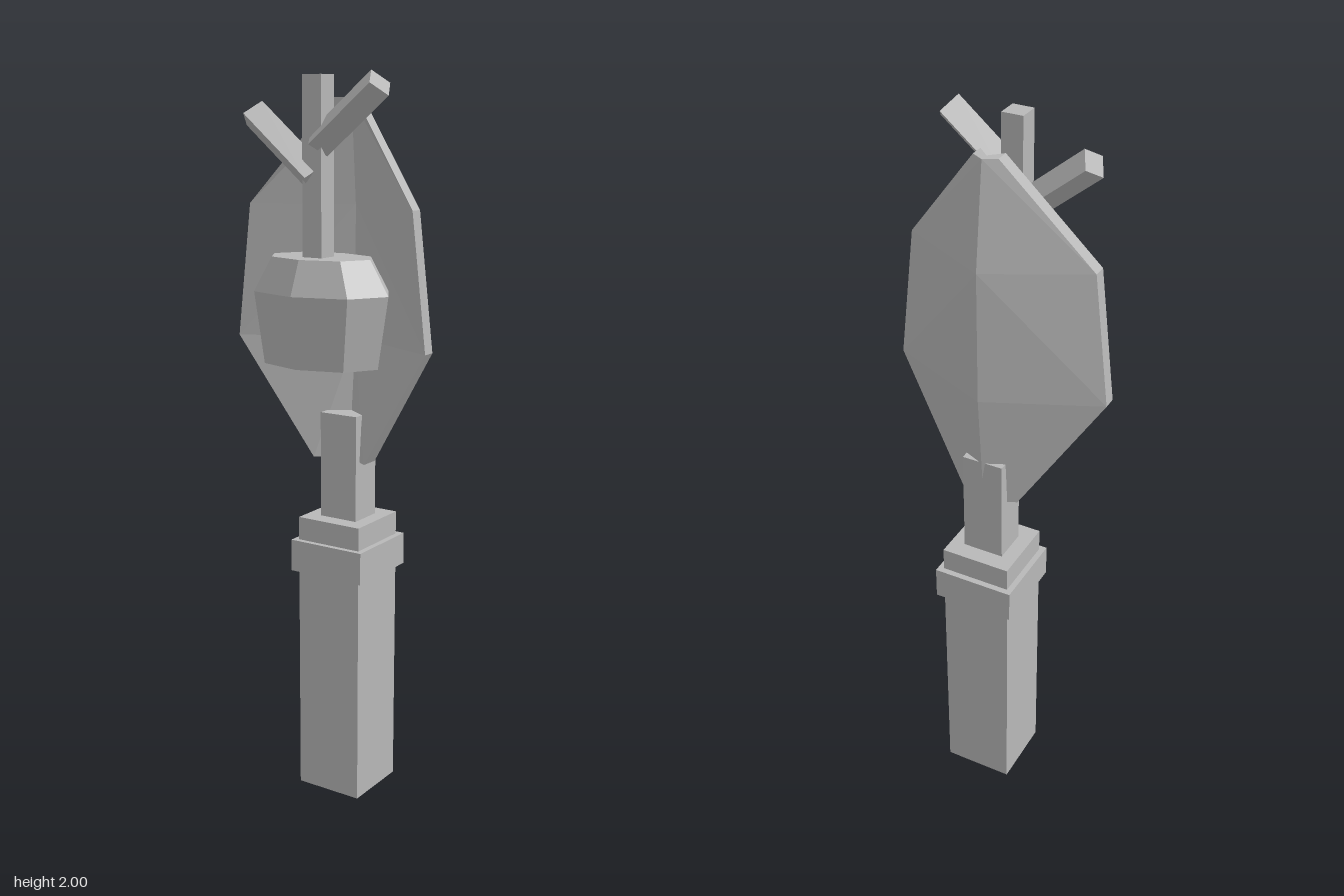
import * as THREE from 'three';

const grey = new THREE.MeshStandardMaterial({ color: 0xb8b8b8, flatShading: true });
grey.name = 'plain grey';

function add(group, name, geometry, x = 0, y = 0, z = 0) {
  const mesh = new THREE.Mesh(geometry, grey);
  mesh.name = name;
  mesh.position.set(x, y, z);
  group.add(mesh);
  return mesh;
}

// Upright box standing between two heights
function post(group, name, width, depth, y0, y1, x, z) {
  return add(group, name, new THREE.BoxGeometry(width, y1 - y0, depth), x, (y0 + y1) / 2, z);
}

// Folded plate: a chevron cross-section carried down through the stations
function foldedLeaf() {
  // height, half width, spine back z, spine front z, rim back z, rim front z
  const stations = [
    [1.935, 0.033, -0.114, -0.09, -0.094, -0.058],
    [1.66, 0.253, -0.147, -0.112, -0.017, 0.02],
    [1.30, 0.296, -0.147, -0.112, -0.017, 0.02],
    [0.97, 0.082, -0.122, -0.085, -0.085, -0.03],
  ];
  const rings = stations.map(([y, w, sb, sf, rb, rf]) => [
    [0, y, sb], [w, y, rb], [w, y, rf], [0, y, sf], [-w, y, rf], [-w, y, rb],
  ]);
  const pos = [];
  const quad = (a, b, c, d) => pos.push(...a, ...b, ...c, ...a, ...c, ...d);
  for (let i = 0; i < rings.length - 1; i++) {
    for (let j = 0; j < 6; j++) {
      const k = (j + 1) % 6, a = rings[i], b = rings[i + 1];
      // Every crease runs from the spine down to the rim
      if (j % 3 === 0) quad(a[j], a[k], b[k], b[j]);
      else quad(a[k], b[k], b[j], a[j]);
    }
  }
  const t = rings[0], e = rings[rings.length - 1];
  quad(t[3], t[2], t[1], t[0]);
  quad(t[5], t[4], t[3], t[0]);
  quad(e[0], e[1], e[2], e[3]);
  quad(e[0], e[3], e[4], e[5]);
  const geometry = new THREE.BufferGeometry();
  geometry.setAttribute('position', new THREE.Float32BufferAttribute(pos, 3));
  geometry.computeVertexNormals();
  return geometry;
}

// Diamond-section twig between two points in the xy plane
function twig(group, name, x0, y0, x1, y1, z) {
  const length = Math.hypot(x1 - x0, y1 - y0);
  const geometry = new THREE.CylinderGeometry(1, 1, length, 4);
  geometry.scale(0.04, 1, 0.048);
  const mesh = add(group, name, geometry, (x0 + x1) / 2, (y0 + y1) / 2, z);
  mesh.rotation.z = Math.atan2(y1 - y0, x1 - x0) - Math.PI / 2;
}

export function createModel() {
  const model = new THREE.Group();
  model.name = 'leafStaff';

  // Handle, collar and neck
  post(model, 'handle', 0.196, 0.196, 0, 0.805, -0.001, -0.079);
  post(model, 'collar', 0.228, 0.228, 0.65, 0.74, -0.001, -0.08);
  post(model, 'neck', 0.115, 0.1, 0.8, 1.1, 0, -0.078);

  // Folded leaf blade
  add(model, 'leaf', foldedLeaf());

  // Eight-sided bulb, wider than deep
  const profile = [[0, 1.255], [0.175, 1.255], [0.205, 1.445], [0.15, 1.535], [0, 1.535]];
  const bulb = new THREE.LatheGeometry(profile.map(([x, y]) => new THREE.Vector2(x, y)), 8);
  bulb.scale(1, 1, 0.68);
  add(model, 'bulb', bulb, 0, 0, 0.052);

  // Stalk with a twig to each side
  post(model, 'stalk', 0.058, 0.058, 1.5, 1.99, -0.001, 0.064);
  twig(model, 'leftTwig', 0.005, 1.82, 0.185, 1.968, 0.069);
  twig(model, 'rightTwig', -0.007, 1.737, -0.198, 1.895, 0.068);
  return model;
}
